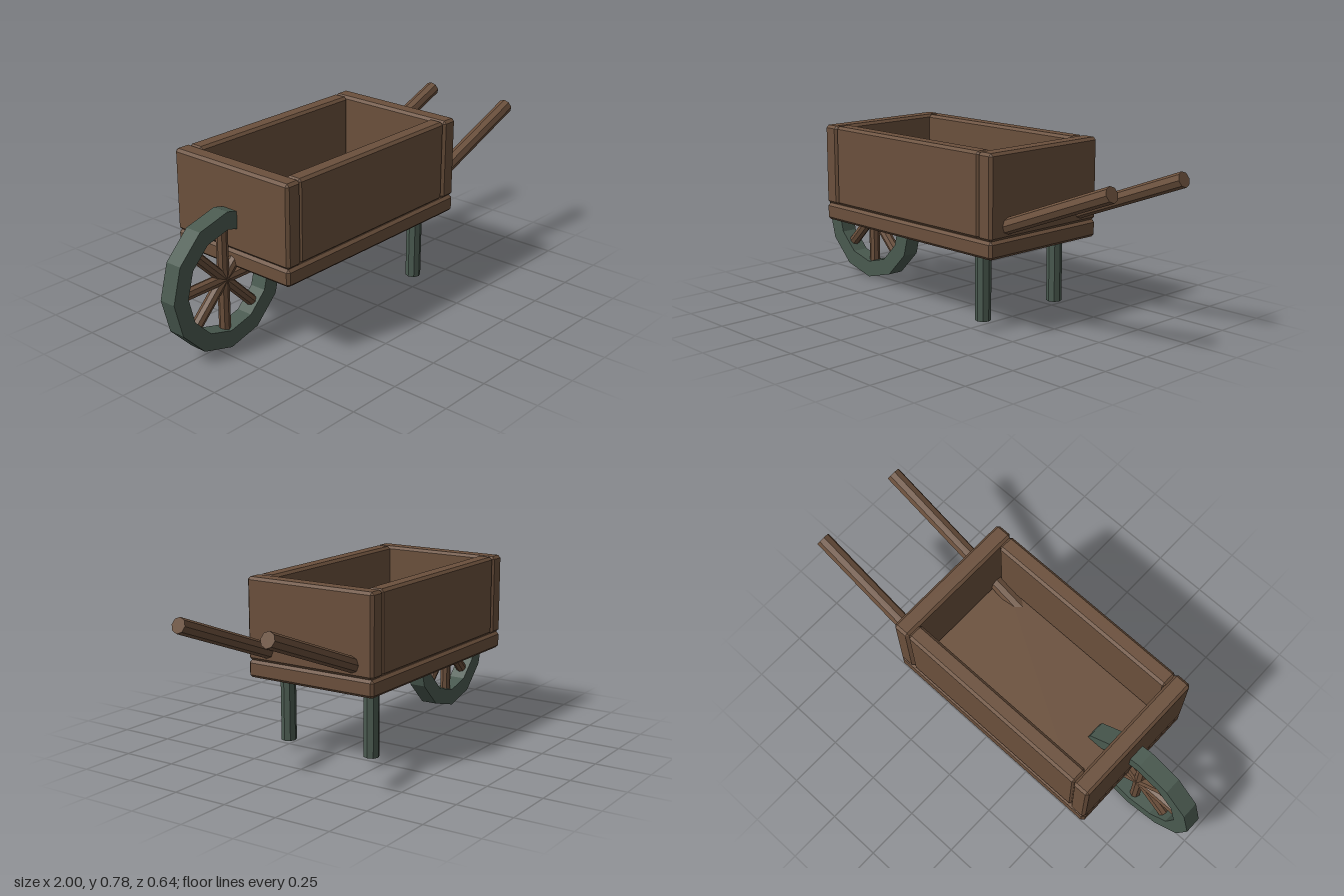
import * as THREE from 'three';
import { ConvexGeometry } from 'three/addons/geometries/ConvexGeometry.js';

const wood = new THREE.MeshStandardMaterial({ color: 0x6b503c, flatShading: true });
const iron = new THREE.MeshStandardMaterial({ color: 0x4a5a50, flatShading: true });

function addMesh(parent, name, geometry, material) {
  const mesh = new THREE.Mesh(geometry, material);
  mesh.name = name;
  parent.add(mesh);
  return mesh;
}

// Plank with chamfered edges, given by its two extreme corners
function plank(parent, name, min, max, bevel = 0.012) {
  const half = max.map((v, i) => (v - min[i]) / 2);
  const points = [];
  for (const sx of [-1, 1]) for (const sy of [-1, 1]) for (const sz of [-1, 1]) {
    for (let axis = 0; axis < 3; axis++) {
      const p = half.map((h, i) => (i === axis ? h : h - bevel));
      points.push(new THREE.Vector3(sx * p[0], sy * p[1], sz * p[2]));
    }
  }
  const mesh = addMesh(parent, name, new ConvexGeometry(points), wood);
  mesh.position.set(...max.map((v, i) => (v + min[i]) / 2));
}

// Eight-sided rod between two points in an upright plane of constant z
function rod(parent, name, a, b, z, radius, material) {
  const start = new THREE.Vector3(a[0], a[1], z);
  const end = new THREE.Vector3(b[0], b[1], z);
  const dir = end.clone().sub(start);
  const mesh = addMesh(parent, name, new THREE.CylinderGeometry(radius, radius, dir.length(), 8), material);
  mesh.position.copy(start).add(end).multiplyScalar(0.5);
  mesh.rotation.z = Math.atan2(dir.y, dir.x) - Math.PI / 2;
}

function polygon(radius, sides) {
  return Array.from({ length: sides }, (_, i) => {
    const a = (i / sides) * Math.PI * 2;
    return new THREE.Vector2(radius * Math.cos(a), radius * Math.sin(a));
  });
}

function createWheel() {
  const wheel = new THREE.Group();
  wheel.name = 'wheel';
  const shape = new THREE.Shape(polygon(0.305, 12));
  shape.holes.push(new THREE.Path(polygon(0.228, 12)));
  const rim = new THREE.ExtrudeGeometry(shape, { depth: 0.078, bevelEnabled: false });
  rim.translate(0, 0, -0.039);
  addMesh(wheel, 'rim', rim, iron);
  // Four full-width rods make eight spokes
  for (let i = 0; i < 4; i++) {
    const x = 0.23 * Math.cos((i * Math.PI) / 4);
    const y = 0.23 * Math.sin((i * Math.PI) / 4);
    rod(wheel, 'spoke', [-x, -y], [x, y], 0, 0.025, wood);
  }
  wheel.position.set(-0.695, 0.305, 0);
  return wheel;
}

export function createModel() {
  const model = new THREE.Group();
  model.name = 'wheelbarrow';

  // Tray
  const tray = new THREE.Group();
  tray.name = 'tray';
  model.add(tray);
  plank(tray, 'floor', [-0.645, 0.34, -0.32], [0.44, 0.417, 0.32]);
  plank(tray, 'wheelEndBoard', [-0.645, 0.417, -0.32], [-0.565, 0.78, 0.32]);
  plank(tray, 'handleEndBoard', [0.36, 0.417, -0.32], [0.44, 0.78, 0.32]);
  for (const s of [-1, 1]) {
    const z = [s * 0.24, s * 0.316].sort((a, b) => a - b);
    plank(tray, 'sideBoard', [-0.57, 0.417, z[0]], [0.362, 0.78, z[1]]);
  }

  // Handles run up through the tray; legs stand under it
  for (const s of [-1, 1]) {
    rod(model, 'handle', [0.098, 0.341], [0.985, 0.683], s * 0.218, 0.034, wood);
    rod(model, 'leg', [0.292, 0.04], [0.292, 0.38], s * 0.218, 0.034, iron);
  }

  model.add(createWheel());
  return model;
}
